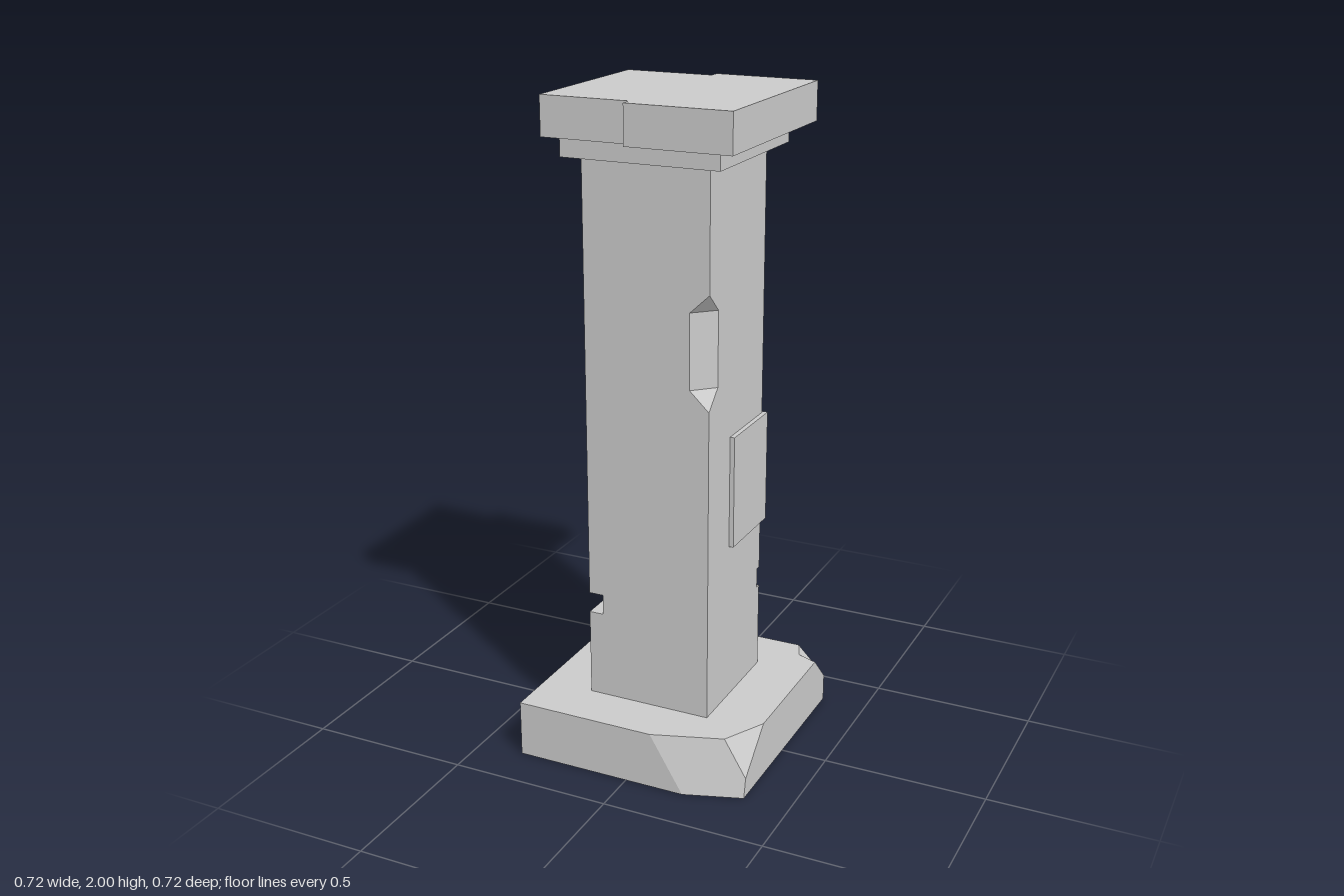
import * as THREE from 'three';

const material = new THREE.MeshStandardMaterial({ color: 0xcccccc, flatShading: true });

function addMesh(parent, name, geometry) {
  const mesh = new THREE.Mesh(geometry, material);
  mesh.name = name;
  parent.add(mesh);
  return mesh;
}

// Box given by its two opposite corners
function addBlock(parent, name, [x0, y0, z0], [x1, y1, z1]) {
  const mesh = addMesh(parent, name, new THREE.BoxGeometry(x1 - x0, y1 - y0, z1 - z0));
  mesh.position.set((x0 + x1) / 2, (y0 + y1) / 2, (z0 + z1) / 2);
}

// Flat-faced geometry from triangles, leaving out collapsed ones
function fromTriangles(triangles) {
  const points = triangles
    .filter((t) => new THREE.Triangle(...t).getArea() > 1e-7)
    .flat();
  const geometry = new THREE.BufferGeometry().setFromPoints(points);
  geometry.computeVertexNormals();
  return geometry;
}

// Solid from polygons, each fanned from its first corner and turned away from the centre
function fromPolygons(polygons, centre) {
  const triangles = [];
  const normal = new THREE.Vector3();
  for (const polygon of polygons) {
    const p = polygon.map((c) => new THREE.Vector3(...c));
    for (let i = 1; i < p.length - 1; i++) {
      const t = [p[0], p[i], p[i + 1]];
      new THREE.Triangle(...t).getNormal(normal);
      if (normal.dot(p[0].clone().sub(centre)) < 0) t.reverse();
      triangles.push(t);
    }
  }
  return fromTriangles(triangles);
}

// Skin between successive rings of points
function loft(rings) {
  const triangles = [];
  for (let r = 0; r < rings.length - 1; r++) {
    const low = rings[r], high = rings[r + 1], n = low.length;
    for (let i = 0; i < n; i++) {
      const j = (i + 1) % n;
      triangles.push([low[i], low[j], high[j]], [low[i], high[j], high[i]]);
    }
  }
  return fromTriangles(triangles);
}

// Square plinth with a broken front corner and a chipped back corner
function plinthGeometry() {
  const w = 0.358, h = 0.175;
  const frontTop = [0.08, h, w], frontFoot = [0.185, 0, w], sideFoot = [w, 0, 0.3];
  const breakTop = [0.289, h, 0.288], breakLow = [w, 0.06, 0.288], sideTop = [w, h, 0.157];
  const chipBack = [0.268, h, -w], chipInner = [0.294, h, -0.296];
  const chipSide = [w, h, -0.27], chipLow = [w, 0.085, -w];
  const backFoot = [w, 0, -w];
  const bl0 = [-w, 0, -w], bl1 = [-w, h, -w], fl0 = [-w, 0, w], fl1 = [-w, h, w];
  return fromPolygons([
    [bl1, chipBack, chipInner, chipSide, sideTop, breakTop, frontTop, fl1],
    [bl0, backFoot, sideFoot, frontFoot, fl0],
    [fl0, frontFoot, frontTop, fl1],
    [backFoot, sideFoot, breakLow, sideTop, chipSide, chipLow],
    [bl0, backFoot, chipLow, chipBack, bl1],
    [bl0, fl0, fl1, bl1],
    [frontFoot, sideFoot, breakLow, breakTop, frontTop],
    [breakTop, breakLow, sideTop],
    [chipBack, chipInner, chipLow],
    [chipInner, chipSide, chipLow],
  ], new THREE.Vector3(0, h / 2, 0));
}

// Shaft with a groove round the left-hand and back faces and a chipped front corner
function shaftGeometry() {
  const ring = (y, x0, z0, chip) => {
    const x1 = 0.192, z1 = 0.198;
    return [[x0, z1], [x1 - chip, z1], [x1, z1 - chip], [x1, z0], [x0, z0]]
      .map(([x, z]) => new THREE.Vector3(x, y, z));
  };
  const full = (y, chip = 0) => ring(y, -0.198, -0.192, chip);
  const grooved = (y) => ring(y, -0.153, -0.175, 0);
  return loft([
    full(0.17), full(0.445), grooved(0.445), grooved(0.508), full(0.508),
    full(1.14), full(1.197, 0.06), full(1.422, 0.06), full(1.478), full(1.84),
  ]);
}

export function createModel() {
  const pillar = new THREE.Group();
  pillar.name = 'stonePillar';

  addMesh(pillar, 'plinth', plinthGeometry());
  addMesh(pillar, 'shaft', shaftGeometry());

  // Raised panel wrapping the back corner
  addBlock(pillar, 'cornerPanel', [-0.035, 0.672, -0.202], [0.206, 1.018, 0.047]);

  // Stepped capital, its top slab wider on one side
  const capital = new THREE.Group();
  capital.name = 'capital';
  pillar.add(capital);
  addBlock(capital, 'capitalStep', [-0.24, 1.83, -0.24], [0.24, 1.886, 0.242]);
  addBlock(capital, 'narrowSlab', [-0.286, 1.885, -0.267], [-0.015, 2, 0.265]);
  addBlock(capital, 'wideSlab', [-0.015, 1.885, -0.302], [0.3, 2, 0.3]);

  return pillar;
}
